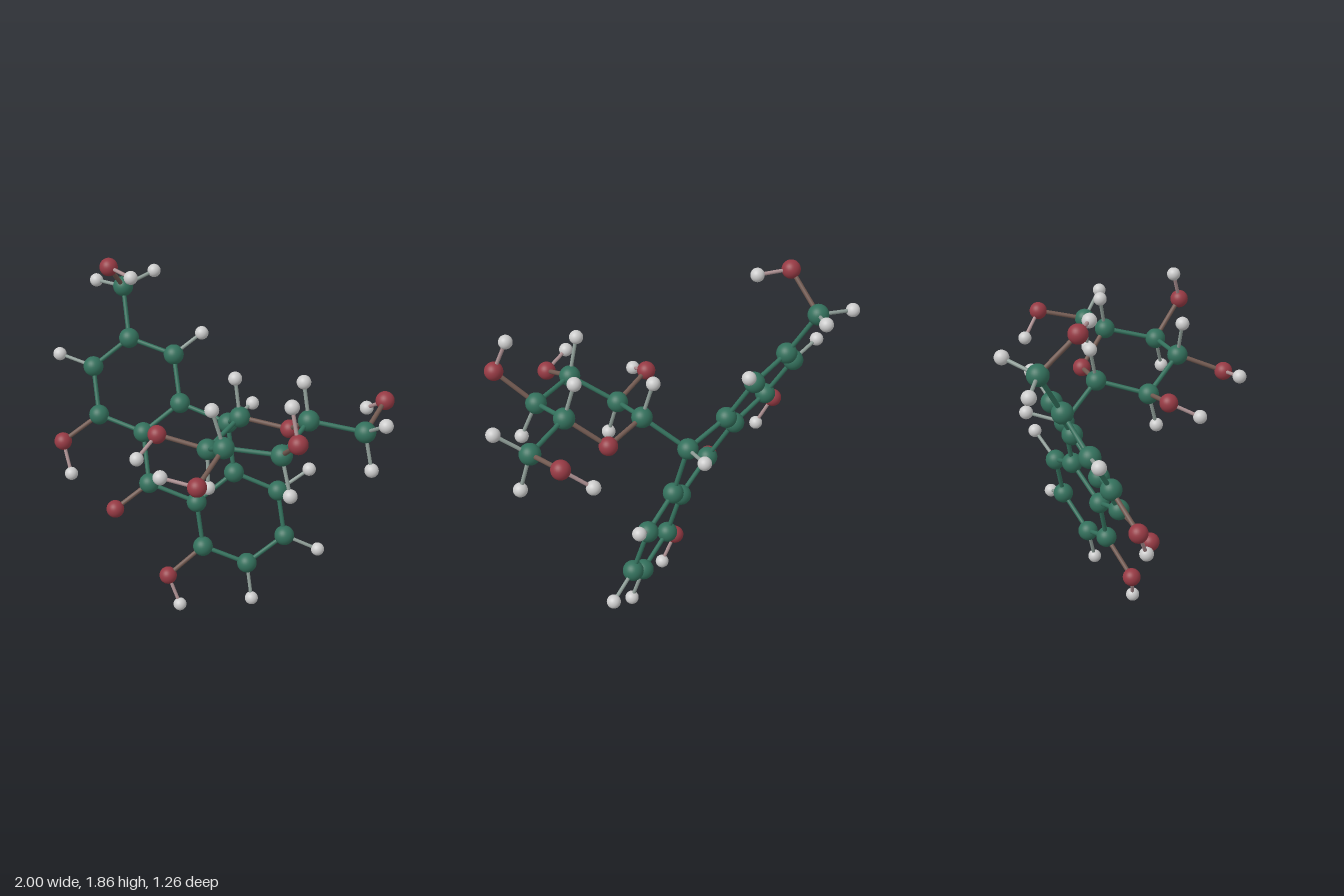
import * as THREE from 'three';

// Element styles: ball radius and colour
const ELEMENTS = {
  C: { name: 'carbon', radius: 0.054, color: 0x33705c },
  O: { name: 'oxygen', radius: 0.048, color: 0x963a44 },
  H: { name: 'hydrogen', radius: 0.036, color: 0xbcbcbc },
};

// Atoms of each part: element, x, y, z
const PARTS = {
  upperRing: [
    ['C', -0.64, 1.39, -0.24], ['C', -0.40, 1.33, -0.32], ['C', -0.295, 1.105, -0.235],
    ['C', -0.435, 0.945, -0.09], ['C', -0.675, 1.01, -0.01], ['C', -0.78, 1.235, -0.10],
    ['H', -0.295, 1.445, -0.43], ['H', -0.965, 1.28, -0.04],
    ['O', -0.82, 0.86, 0.13], ['H', -0.74, 0.70, 0.165],
  ],
  topArm: [
    ['C', -0.75, 1.63, -0.335], ['O', -0.695, 1.815, -0.155], ['H', -0.52, 1.81, -0.12],
    ['H', -0.95, 1.61, -0.35], ['H', -0.675, 1.68, -0.51],
  ],
  middleRing: [
    ['C', -0.33, 0.705, 0], ['O', -0.435, 0.585, 0.165],
    ['C', -0.03, 1.04, -0.305], ['H', -0.01, 1.08, -0.505],
  ],
  lowerRing: [
    ['C', -0.10, 0.61, -0.12], ['C', 0.035, 0.77, -0.275], ['C', 0.245, 0.675, -0.39],
    ['C', 0.315, 0.43, -0.36], ['C', 0.175, 0.275, -0.21], ['C', -0.035, 0.365, -0.09],
    ['H', 0.36, 0.79, -0.515], ['H', 0.475, 0.355, -0.45], ['H', 0.23, 0.08, -0.18],
    ['O', -0.165, 0.20, 0.055], ['H', -0.085, 0.04, 0.055],
  ],
  sideRing: [
    ['C', 0.15, 1.20, -0.155], ['C', 0.145, 1.135, 0.12], ['C', 0.345, 1.275, 0.26],
    ['C', 0.595, 1.26, 0.13], ['C', 0.57, 1.32, -0.145], ['O', 0.39, 1.165, -0.255],
    ['H', 0.10, 1.395, -0.18], ['H', 0.18, 0.94, 0.16], ['H', 0.29, 1.475, 0.285],
    ['H', 0.67, 1.07, 0.16], ['H', 0.52, 1.51, -0.165],
    ['O', -0.085, 1.195, 0.235], ['H', -0.09, 1.125, 0.395],
    ['O', 0.365, 1.18, 0.505], ['H', 0.21, 1.22, 0.59],
    ['O', 0.76, 1.43, 0.25], ['H', 0.70, 1.595, 0.22],
  ],
  sideArm: [
    ['C', 0.815, 1.275, -0.28], ['O', 0.775, 1.33, -0.535], ['H', 0.64, 1.22, -0.595],
    ['H', 0.965, 1.39, -0.21], ['H', 0.87, 1.08, -0.27],
  ],
};

export function createModel() {
  const model = new THREE.Group();
  model.name = 'ballAndStickModel';

  // One shared ball and material per element
  const balls = {};
  for (const [key, e] of Object.entries(ELEMENTS)) {
    balls[key] = {
      geometry: new THREE.SphereGeometry(e.radius, 28, 18),
      material: new THREE.MeshStandardMaterial({ color: e.color }),
    };
  }

  // Atoms, grouped by part
  const atoms = [];
  for (const [partName, list] of Object.entries(PARTS)) {
    const part = new THREE.Group();
    part.name = partName;
    for (const [key, x, y, z] of list) {
      const ball = new THREE.Mesh(balls[key].geometry, balls[key].material);
      ball.name = ELEMENTS[key].name + 'Ball';
      ball.position.set(x, y, z);
      part.add(ball);
      atoms.push({ key, position: ball.position });
    }
    model.add(part);
  }

  // Rods join every pair of neighbours; their colour blends both ends
  const rods = new THREE.Group();
  rods.name = 'rods';
  const rodMaterials = {};
  const rodMaterial = (a, b) => {
    const id = [a, b].sort().join('');
    rodMaterials[id] ??= new THREE.MeshStandardMaterial({
      color: new THREE.Color(ELEMENTS[a].color).lerp(new THREE.Color(ELEMENTS[b].color), 0.5),
    });
    return rodMaterials[id];
  };
  const up = new THREE.Vector3(0, 1, 0);
  atoms.forEach((a, i) => {
    for (const b of atoms.slice(i + 1)) {
      const hasHydrogen = a.key === 'H' || b.key === 'H';
      const length = a.position.distanceTo(b.position);
      if (length > (hasHydrogen ? 0.25 : 0.305)) continue;
      const radius = hasHydrogen ? 0.0095 : 0.012;
      const rod = new THREE.Mesh(
        new THREE.CylinderGeometry(radius, radius, length, 14, 1, true),
        rodMaterial(a.key, b.key),
      );
      rod.name = 'rod';
      rod.position.lerpVectors(a.position, b.position, 0.5);
      rod.quaternion.setFromUnitVectors(up, b.position.clone().sub(a.position).normalize());
      rods.add(rod);
    }
  });
  model.add(rods);
  return model;
}
